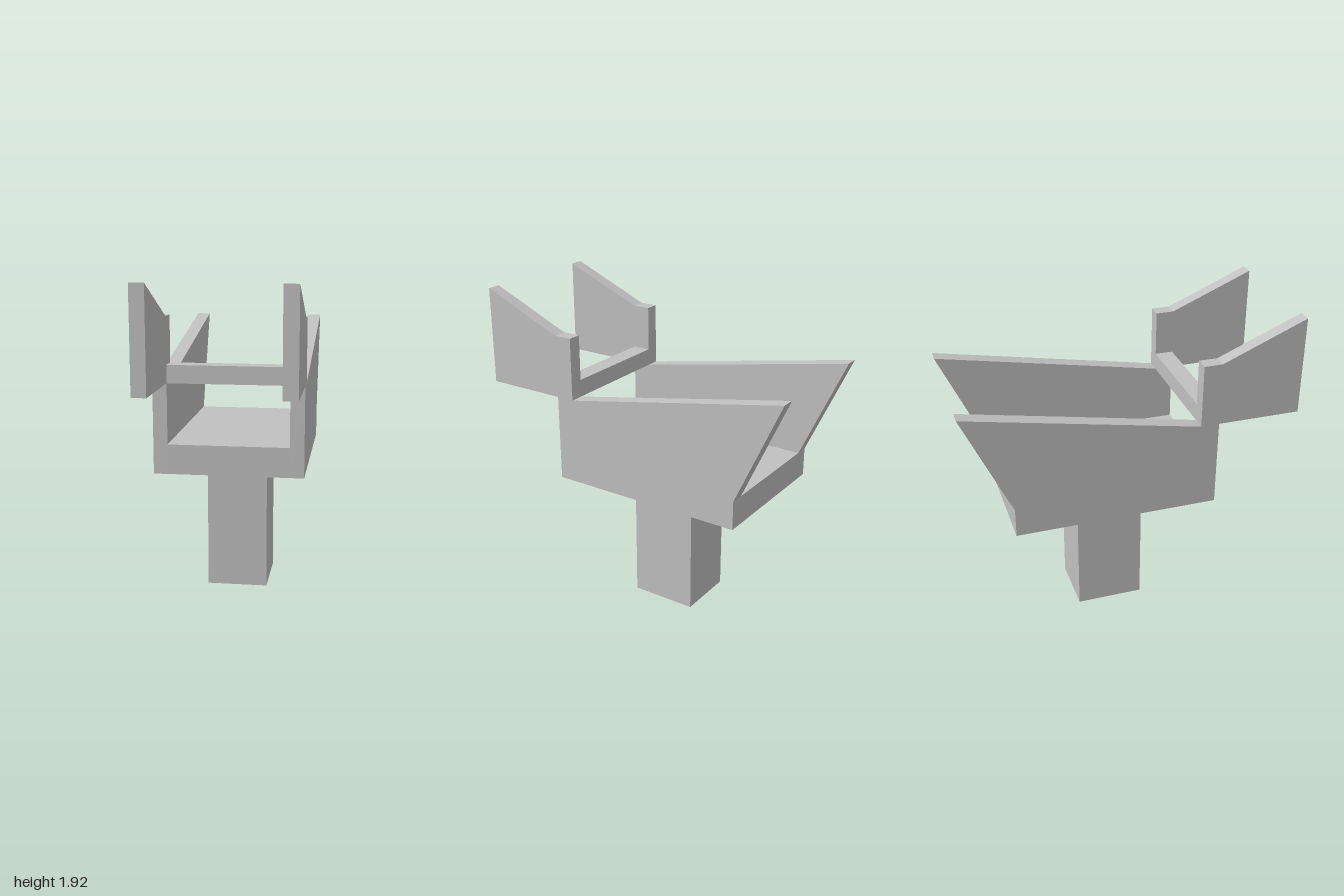
import * as THREE from 'three';

export function createModel() {
  const model = new THREE.Group();
  const grey = new THREE.MeshStandardMaterial({ color: 0xc0c0c0 });
  grey.name = 'plain grey';

  // Box given by its minimum and maximum corners
  function addBox(name, [x0, y0, z0], [x1, y1, z1]) {
    const geo = new THREE.BoxGeometry(x1 - x0, y1 - y0, z1 - z0);
    geo.translate((x0 + x1) / 2, (y0 + y1) / 2, (z0 + z1) / 2);
    const mesh = new THREE.Mesh(geo, grey);
    mesh.name = name;
    model.add(mesh);
  }

  // Side plate: (z, y) outline extruded across x, ending at outer x
  function addSide(name, inner, outer) {
    const outline = [
      [-0.72, 0.8], [0.5, 0.8], [0.5, 1.33], [1, 1.33], [1, 1.92],
      [0.5, 1.71], [0.39, 1.71], [0.39, 1.33], [-1, 1.6], [-0.72, 0.975],
    ].map(([z, y]) => new THREE.Vector2(z, y));
    const geo = new THREE.ExtrudeGeometry(new THREE.Shape(outline), {
      depth: outer - inner, bevelEnabled: false,
    });
    geo.rotateY(-Math.PI / 2);
    geo.translate(outer, 0, 0);
    const mesh = new THREE.Mesh(geo, grey);
    mesh.name = name;
    model.add(mesh);
  }

  // Supporting post
  addBox('post', [-0.183, 0, -0.29], [0.183, 0.8, 0.12]);

  // Tray floor and front cross bar between the sides
  addBox('floor', [-0.352, 0.8, -0.72], [0.352, 0.975, 0.5]);
  addBox('crossBar', [-0.352, 1.33, 0.39], [0.352, 1.435, 0.5]);

  // Side plates with the forward prongs
  addSide('leftSide', 0.352, 0.435);
  addSide('rightSide', -0.435, -0.352);

  return model;
}
